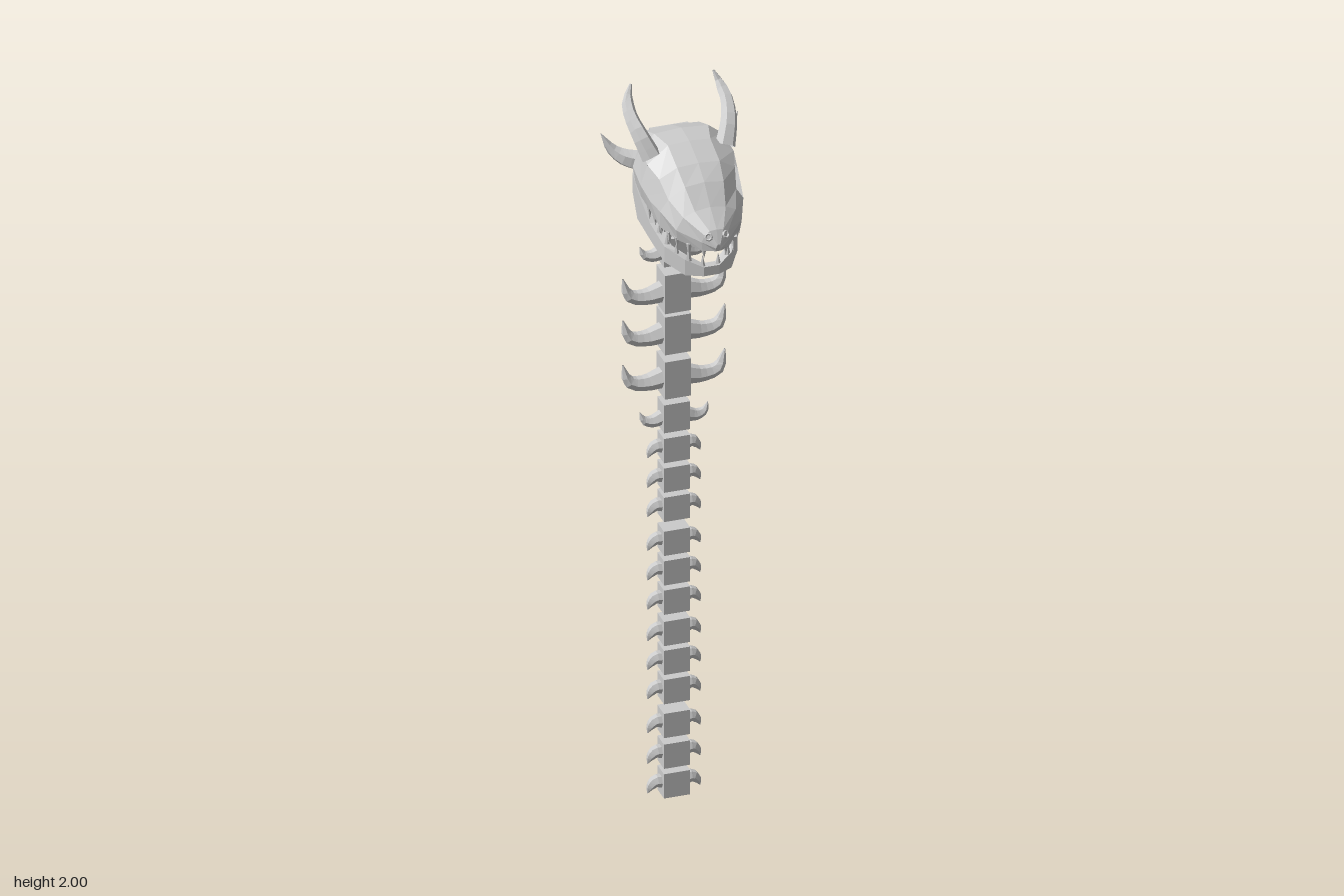
import * as THREE from 'three';

const bone = new THREE.MeshStandardMaterial({ color: 0xcccccc, flatShading: true, side: THREE.DoubleSide });

function add(parent, geometry, name) {
  const mesh = new THREE.Mesh(geometry, bone);
  mesh.name = name;
  parent.add(mesh);
  return mesh;
}

// Faceted horn: a tube along the points whose radius follows the given list
function hornGeometry(points, radii, sides = 6, steps = 8) {
  const curve = new THREE.CatmullRomCurve3(points.map(p => new THREE.Vector3(...p)));
  const geo = new THREE.TubeGeometry(curve, steps, 1, sides);
  const pos = geo.attributes.position, v = new THREE.Vector3();
  for (let i = 0; i <= steps; i++) {
    const c = curve.getPointAt(i / steps);
    const f = (i / steps) * (radii.length - 1), k = Math.min(Math.floor(f), radii.length - 2);
    const r = THREE.MathUtils.lerp(radii[k], radii[k + 1], f - k);
    for (let j = 0; j <= sides; j++) {
      const n = i * (sides + 1) + j;
      v.fromBufferAttribute(pos, n).sub(c).multiplyScalar(r).add(c);
      pos.setXYZ(n, v.x, v.y, v.z);
    }
  }
  geo.computeVertexNormals();
  return geo;
}

// Matching horns on the left (+x) and right (-x)
function hornPair(parent, points, radii, name) {
  for (const s of [1, -1])
    add(parent, hornGeometry(points.map(([x, y, z]) => [s * x, y, z]), radii), (s > 0 ? 'left' : 'right') + name);
}

// Loft through rings of corners; skip(i, j) leaves a hole
function loft(rings, closed, skip = () => false) {
  const n = rings[0].length, index = [];
  for (let i = 0; i < rings.length - 1; i++)
    for (let j = 0; j < (closed ? n : n - 1); j++) {
      if (skip(i, j)) continue;
      const a = i * n + j, b = i * n + (j + 1) % n;
      index.push(a, b, a + n, b, b + n, a + n);
    }
  // Cap both ends with fans
  for (const base of [0, (rings.length - 1) * n])
    for (let j = 1; j < n - 1; j++)
      index.push(base, base + (base ? j : j + 1), base + (base ? j + 1 : j));
  const geo = new THREE.BufferGeometry();
  geo.setAttribute('position', new THREE.Float32BufferAttribute(rings.flat(2), 3));
  geo.setIndex(index);
  geo.computeVertexNormals();
  return geo;
}

function buildSkull() {
  const skull = new THREE.Group();
  skull.name = 'skull';

  // Half sections from the back of the head to the nose: crown, plate edge, brow, cheek, lip
  const half = [
    [[0, 1.865, -.16], [.07, 1.86, -.16], [.085, 1.83, -.155], [.09, 1.79, -.15], [.085, 1.765, -.15]],
    [[0, 1.893, -.09], [.07, 1.888, -.09], [.105, 1.86, -.09], [.122, 1.80, -.10], [.115, 1.755, -.10]],
    [[0, 1.888, -.03], [.055, 1.884, -.03], [.112, 1.845, -.02], [.126, 1.785, -.03], [.118, 1.742, -.05]],
    [[0, 1.862, .04], [.055, 1.858, .04], [.098, 1.828, .03], [.118, 1.765, .02], [.113, 1.73, .01]],
    [[0, 1.832, .085], [.05, 1.826, .085], [.088, 1.79, .07], [.108, 1.758, .065], [.106, 1.712, .06]],
    [[0, 1.786, .13], [.04, 1.78, .13], [.068, 1.765, .125], [.085, 1.73, .12], [.08, 1.70, .115]],
    [[0, 1.748, .178], [.018, 1.746, .178], [.03, 1.735, .176], [.037, 1.715, .172], [.034, 1.69, .17]],
    [[0, 1.715, .196], [.004, 1.715, .196], [.006, 1.71, .196], [.008, 1.705, .196], [.006, 1.695, .192]],
  ];
  // Full ring: left side down, then right side back up
  const rings = half.map(h => [...h, ...h.slice(1).reverse().map(([x, y, z]) => [-x, y, z])]);
  const eye = (i, j) => (i === 2 || i === 3) && (j === 2 || j === 6);
  add(skull, loft(rings, true, eye), 'cranium');

  // Occipital block behind the crown
  add(skull, new THREE.BoxGeometry(.1, .06, .03), 'occiput').position.set(0, 1.82, -.172);

  // Nostril rims
  for (const s of [1, -1]) {
    const rim = add(skull, new THREE.TorusGeometry(.008, .003, 4, 8), 'nostril');
    rim.position.set(s * .022, 1.733, .183);
    rim.rotation.set(-.5, s * .4, 0);
  }

  // Horns of the crown and the cheeks
  hornPair(skull, [[.095, 1.855, -.035], [.115, 1.905, -.065], [.125, 1.94, -.11], [.12, 1.965, -.145], [.107, 1.998, -.16]],
    [.026, .022, .018, .015, .003], 'CrownHorn');
  hornPair(skull, [[.075, 1.785, -.145], [.12, 1.795, -.158], [.15, 1.815, -.172], [.177, 1.86, -.18]],
    [.03, .024, .014, .001], 'CheekHorn');

  // Lower jaw: a U-shaped bar swept from the left hinge round the chin; x, z, bottom, top
  const bar = [[.095, -.175, 1.755, 1.785], [.112, -.13, 1.71, 1.76], [.112, -.095, 1.655, 1.735],
    [.105, -.02, 1.635, 1.68], [.095, .06, 1.612, 1.655], [.06, .115, 1.597, 1.64], [.02, .14, 1.6, 1.625]];
  const path = [...bar, ...bar.map(([x, ...r]) => [-x, ...r]).reverse()];
  add(skull, loft(path.map(([x, z, lo, hi]) => {
    const inner = x * .8, zi = z - (z > .1 ? .022 : 0);
    return [[x, lo, z], [x, hi, z], [inner, hi, zi], [inner, lo, zi]];
  }), true), 'lowerJaw');

  // Teeth: x, y at the root, z, length (negative hangs from the upper jaw)
  const teeth = [[.028, 1.695, .165, -.03], [.058, 1.7, .14, -.045], [.078, 1.705, .108, -.03], [.09, 1.71, .085, -.04],
    [.1, 1.717, .055, -.03], [.104, 1.725, .02, -.03], [.107, 1.735, -.015, -.04],
    [.02, 1.62, .13, .035], [.05, 1.635, .112, .045], [.072, 1.643, .083, .03], [.085, 1.653, .05, .035], [.092, 1.667, .01, .025]];
  for (const [x, y, z, len] of teeth)
    for (const s of [1, -1]) {
      const tooth = add(skull, new THREE.ConeGeometry(.008, Math.abs(len), 5), len < 0 ? 'upperTooth' : 'lowerTooth');
      tooth.position.set(s * x, y + len / 2, z);
      if (len < 0) tooth.rotation.x = Math.PI;
    }
  return skull;
}

function buildSpine() {
  const spine = new THREE.Group();
  spine.name = 'spine';
  const z = -.146;
  // Vertebrae from the tail end upward: centre height, height, spike style
  const small = [.035, .118, .204, .299, .381, .462, .55, .632, .715, .81, .892, .975].map(y => [y, .068, 'small']);
  const upper = [[1.064, .078, 'medium'], [1.175, .104, 'large'], [1.3, .106, 'large'], [1.416, .107, 'large'],
    [1.528, .076, 'medium'], [1.625, .07, 'small']];
  // Spike paths relative to the vertebra centre, with radii
  const spikes = {
    small: [[[.03, .003], [.047, .004], [.06, -.008], [.068, -.026]], [.018, .016, .011, .001]],
    medium: [[[.03, -.006], [.055, -.014], [.077, -.008], [.088, .016]], [.019, .016, .011, .001]],
    large: [[[.03, -.006], [.075, -.014], [.115, -.004], [.132, .045]], [.027, .02, .016, .002]],
  };
  for (const [y, h, style] of [...small, ...upper]) {
    const vertebra = new THREE.Group();
    vertebra.name = 'vertebra';
    vertebra.position.set(0, y, z);
    add(vertebra, new THREE.BoxGeometry(.068, h, style === 'large' ? .064 : .05), 'vertebraBody');
    const [path, radii] = spikes[style];
    hornPair(vertebra, path.map(([x, dy]) => [x, dy, 0]), radii, 'Spike');
    spine.add(vertebra);
  }
  return spine;
}

export function createModel() {
  const model = new THREE.Group();
  model.name = 'hornedSkullOnSpine';
  model.add(buildSpine(), buildSkull());
  return model;
}
